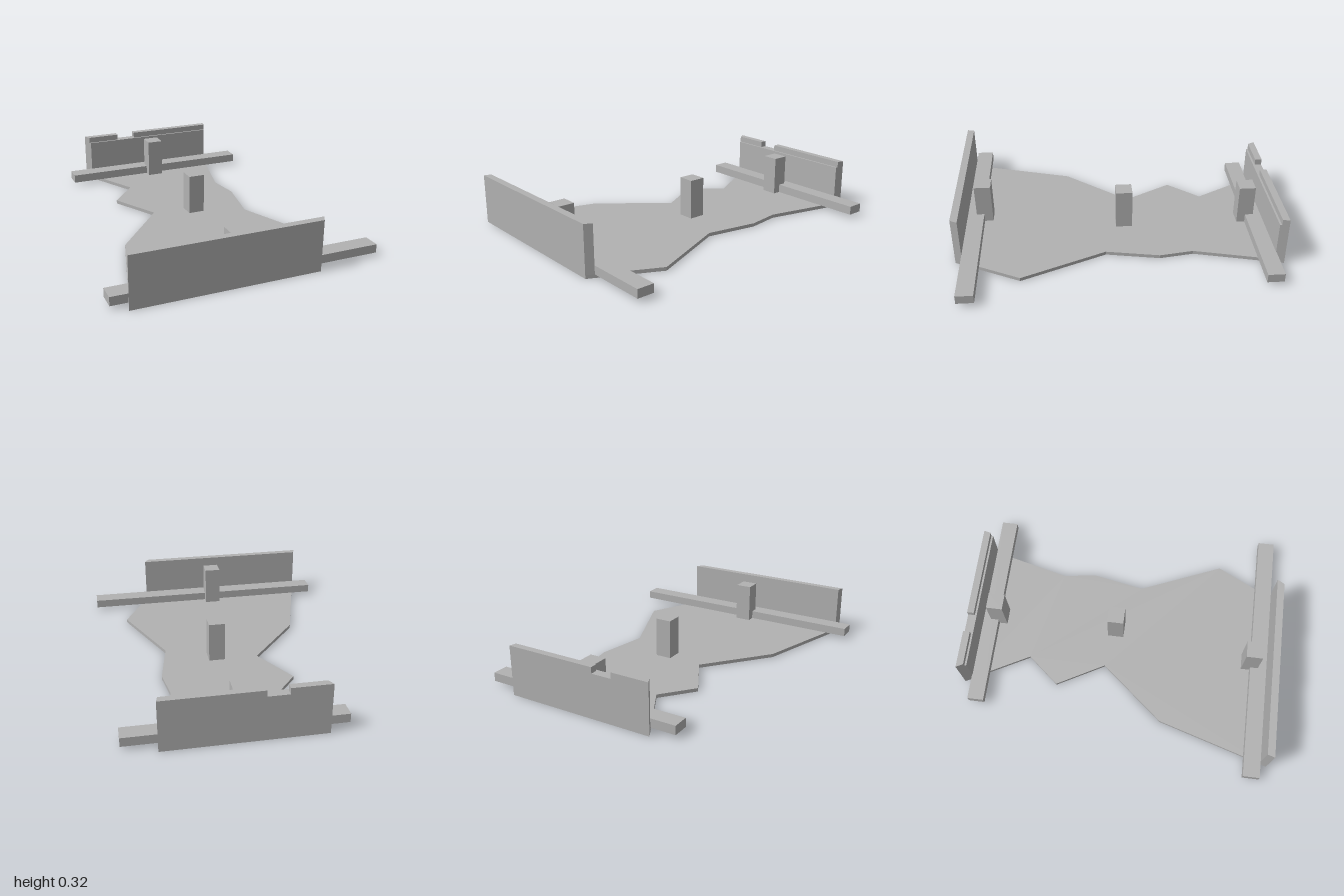
import * as THREE from 'three';

const FLOOR = 0.022, TOP = 0.315, NOTCH = 0.277;

export function createModel() {
  const model = new THREE.Group();
  model.name = 'arena';
  const grey = new THREE.MeshStandardMaterial({ color: 0xb2b2b2 });
  grey.name = 'plain grey';

  const add = (name, geometry) => {
    const mesh = new THREE.Mesh(geometry, grey);
    mesh.name = name;
    model.add(mesh);
    return mesh;
  };

  // Upright prism from an [x, z] footprint
  const prism = (name, points, y0, y1) => {
    const shape = new THREE.Shape(points.map(([x, z]) => new THREE.Vector2(x, -z)));
    const g = new THREE.ExtrudeGeometry(shape, { depth: y1 - y0, bevelEnabled: false });
    g.rotateX(-Math.PI / 2).translate(0, y0, 0);
    return add(name, g);
  };

  // Box given by its limits
  const box = (name, x0, x1, y0, y1, z0, z1) => {
    const g = new THREE.BoxGeometry(x1 - x0, y1 - y0, z1 - z0);
    g.translate((x0 + x1) / 2, (y0 + y1) / 2, (z0 + z1) / 2);
    return add(name, g);
  };

  // Irregular floor slab
  prism('floor', [
    [-0.405, -1], [-0.19, -0.6], [-0.355, -0.4], [-0.19, -0.1], [-0.52, 0.3], [-0.725, 1],
    [0.41, 1], [0.61, 0.6], [0.39, 0.08], [0.45, -0.25], [0.42, -0.46], [0.55, -1],
  ], 0, FLOOR);

  // Front wall, its ends following the floor edge
  prism('frontWall', [[-0.725, 1], [0.41, 1], [0.435, 0.955], [-0.712, 0.955]], FLOOR, TOP);

  // Back wall: a thicker lower part and a thinner rim with a notch
  prism('backWall', [[-0.405, -1], [-0.375, -0.945], [0.537, -0.945], [0.55, -1]], FLOOR, NOTCH);
  prism('backRimRight', [[-0.405, -1], [-0.382, -0.957], [-0.165, -0.957], [-0.165, -1]], NOTCH, TOP);
  prism('backRimLeft', [[-0.037, -1], [-0.037, -0.957], [0.54, -0.957], [0.55, -1]], NOTCH, TOP);

  // Cross rails lying on the floor
  box('frontRail', -0.815, 0.812, FLOOR, 0.075, 0.85, 0.955);
  box('backRail', -0.535, 0.75, FLOOR, 0.077, -0.948, -0.845);

  // Square posts
  [['backPost', 0.075, -0.845], ['middlePost', 0.075, -0.055], ['frontPost', -0.05, 0.847]]
    .forEach(([name, x, z]) => box(name, x - 0.052, x + 0.052, FLOOR, 0.277, z - 0.052, z + 0.052));

  return model;
}
